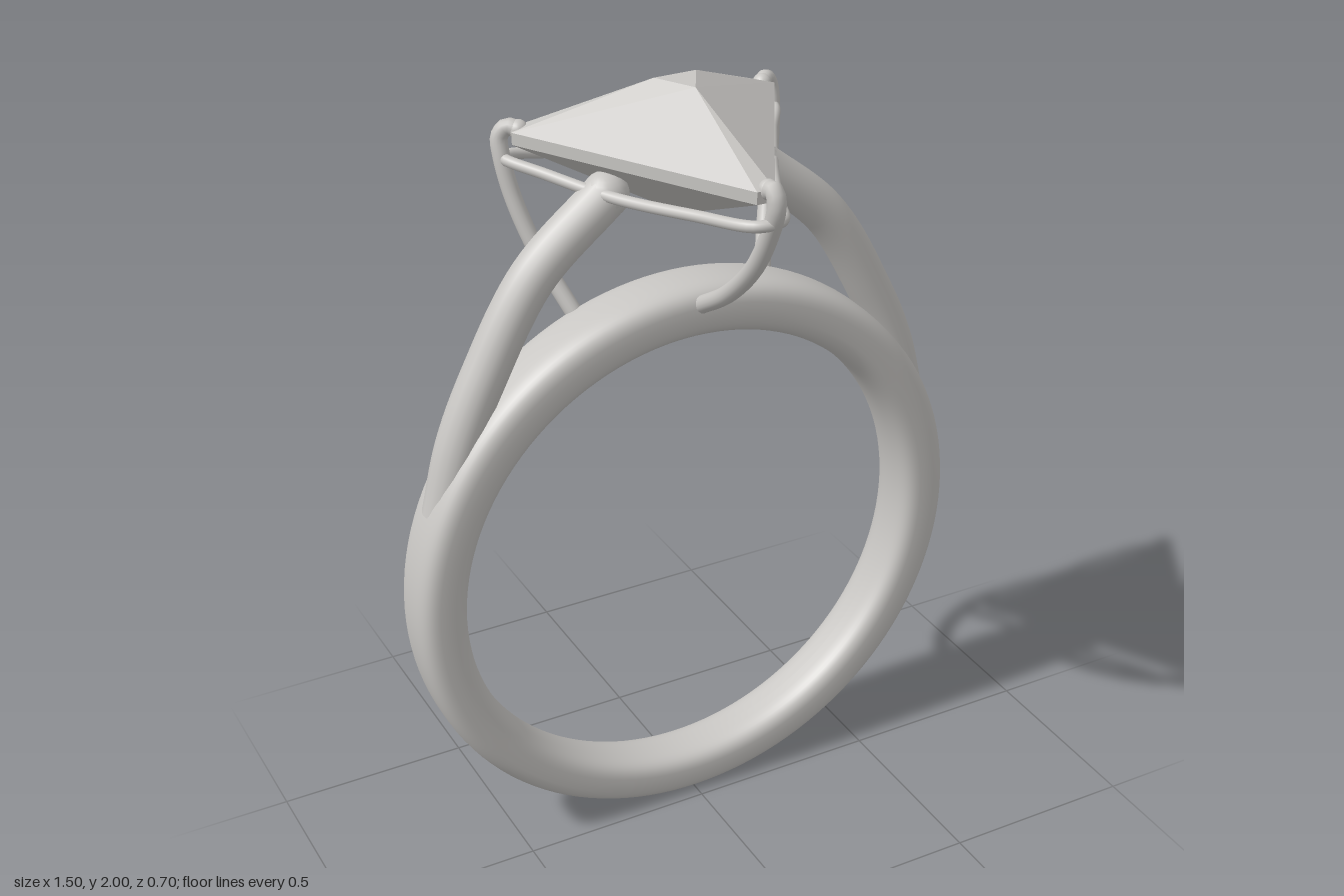
import * as THREE from 'three';
import { ConvexGeometry } from 'three/addons/geometries/ConvexGeometry.js';

const silver = new THREE.MeshStandardMaterial({ color: 0xc8c6c3 });
silver.name = 'silver grey';

const BAND_Z = -0.095;
const v = (p) => new THREE.Vector3(...p);

function addMesh(parent, name, geometry) {
  const mesh = new THREE.Mesh(geometry, silver);
  mesh.name = name;
  parent.add(mesh);
  return mesh;
}

// Round wire through points, optionally with ball ends
function addWire(parent, name, points, radius, { closed = false, startBall = 0, endBall = 0 } = {}) {
  const group = new THREE.Group();
  group.name = name;
  parent.add(group);
  const pts = points.map(v);
  const curve = new THREE.CatmullRomCurve3(pts, closed, 'centripetal');
  addMesh(group, name + 'Wire', new THREE.TubeGeometry(curve, closed ? 160 : 48, radius, 16, closed));
  [[startBall, pts[0]], [endBall, pts[pts.length - 1]]].forEach(([r, p]) => {
    if (r) addMesh(group, name + 'Tip', new THREE.SphereGeometry(r, 20, 14)).position.copy(p);
  });
  return group;
}

// Finger band: soft rectangular section, thicker and wider toward the top
function bandGeometry() {
  const soft = (t) => Math.sign(t) * Math.pow(Math.abs(t), 0.64);
  const profile = [];
  for (let i = 0; i <= 40; i++) {
    const a = -Math.PI + (i / 40) * Math.PI * 2;
    profile.push(new THREE.Vector2(0.6855 + 0.0655 * soft(Math.cos(a)), 0.084 * soft(Math.sin(a))));
  }
  const geo = new THREE.LatheGeometry(profile, 128);
  geo.rotateX(Math.PI / 2);
  const pos = geo.attributes.position;
  for (let i = 0; i < pos.count; i++) {
    const x = pos.getX(i), y = pos.getY(i);
    const outward = (Math.hypot(x, y) - 0.62) / 0.131;
    pos.setZ(i, pos.getZ(i) * (1 + 0.08 * (y / 0.75)));
    pos.setY(i, y + 0.744 + 0.009 * outward);
  }
  return geo.translate(0, 0, BAND_Z);
}

// Trillion-cut stone: small table, clipped triangular girdle, pointed base
function stoneGeometry() {
  const points = [[-0.055, 2, -0.13], [0.055, 2, -0.13], [0, 2, -0.03], [0, 1.665, -0.1]];
  for (const y of [1.84, 1.87])
    for (const s of [-1, 1])
      points.push([s * 0.022, y, 0.295], [s * 0.35, y, -0.278], [s * 0.328, y, -0.312]);
  return new ConvexGeometry(points.map(v));
}

export function createModel() {
  const ring = new THREE.Group();
  ring.name = 'ring';

  addMesh(ring, 'band', bandGeometry());
  addMesh(ring, 'stone', stoneGeometry());

  for (const s of [1, -1]) {
    const side = s > 0 ? 'left' : 'right';

    // Shoulder arches rising from the band to the stone
    addWire(ring, side + 'Shoulder', [
      [s * 0.645, 1.02, BAND_Z], [s * 0.598, 1.2, BAND_Z], [s * 0.522, 1.37, BAND_Z],
      [s * 0.39, 1.59, BAND_Z], [s * 0.2, 1.755, BAND_Z],
    ], 0.056, { endBall: 0.056 });

    // Rear prongs hooking over the back corners
    addWire(ring, side + 'BackProng', [
      [s * 0.255, 1.43, -0.16], [s * 0.31, 1.57, -0.24], [s * 0.347, 1.7, -0.288],
      [s * 0.363, 1.8, -0.312], [s * 0.362, 1.85, -0.322], [s * 0.345, 1.873, -0.312],
      [s * 0.325, 1.868, -0.295],
    ], 0.021, { startBall: 0.021, endBall: 0.024 });
  }

  // Front prong
  addWire(ring, 'frontProng', [
    [0.01, 1.455, -0.025], [0.008, 1.545, 0.115], [0.008, 1.66, 0.235], [0.01, 1.77, 0.3],
    [0.01, 1.84, 0.325], [0.01, 1.872, 0.316], [0.01, 1.868, 0.288],
  ], 0.022, { startBall: 0.022, endBall: 0.024 });

  // Wavy gallery wire linking the prongs under the girdle
  const half = [[0.03, 1.797, 0.312], [0.105, 1.782, 0.165], [0.208, 1.77, -0.035],
    [0.3, 1.785, -0.2], [0.362, 1.8, -0.305], [0.335, 1.797, -0.328], [0.17, 1.772, -0.34]];
  const mirrored = half.map(([x, y, z]) => [-x, y, z]).reverse();
  addWire(ring, 'galleryWire', [...half, [0, 1.797, -0.328], ...mirrored], 0.014, { closed: true });

  return ring;
}
